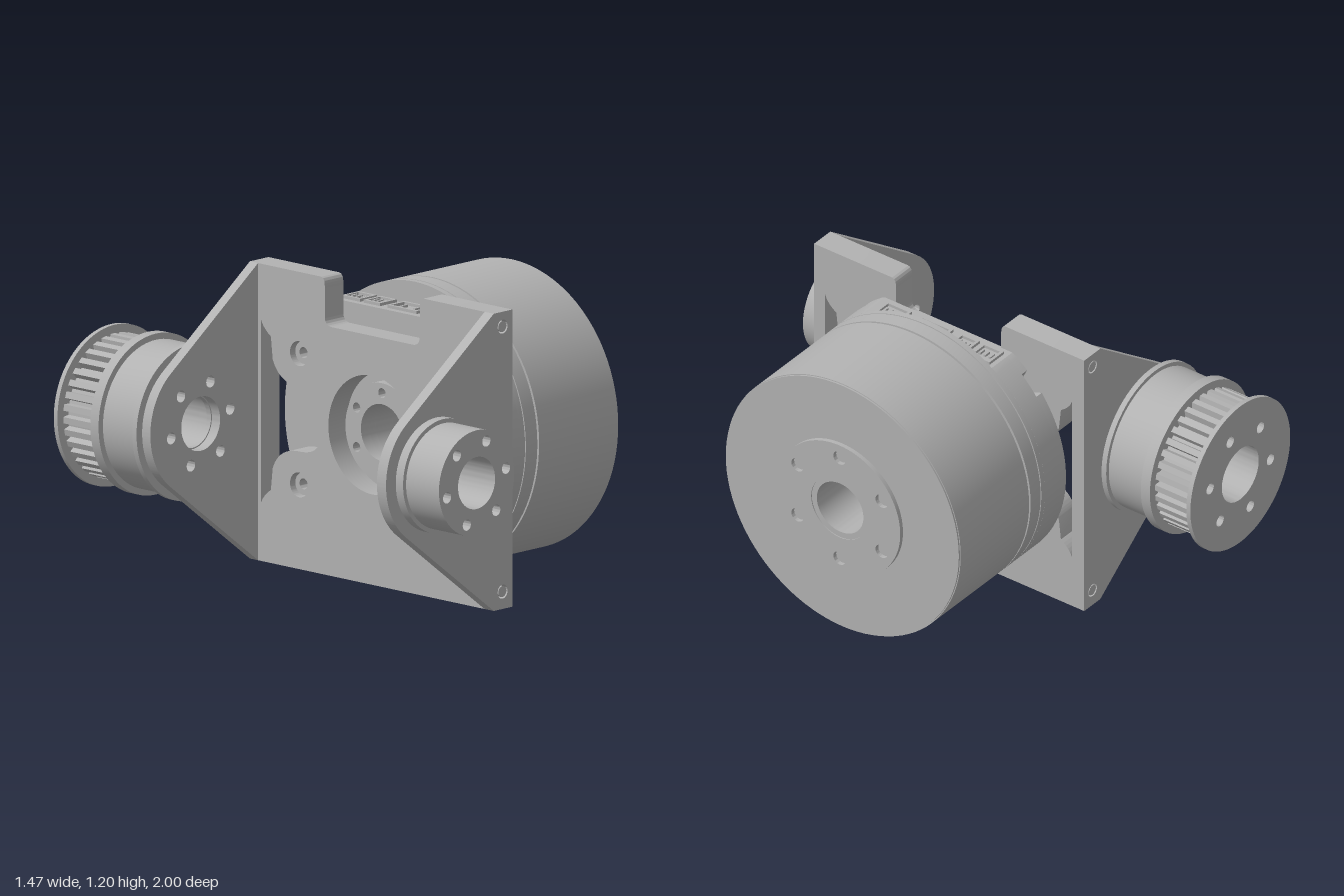
import * as THREE from 'three';
import { toCreasedNormals } from 'three/addons/utils/BufferGeometryUtils.js';

const TAU = Math.PI * 2;
const AXLE = { x: -0.41, y: 0.605 };   // axis of hub and pulley, along z
const MOTOR = { y: 0.605, z: 0.115 };  // axis of motor, along x

export function createModel() {
  const model = new THREE.Group();
  model.name = 'motorBracketAssembly';
  const grey = new THREE.MeshStandardMaterial({ color: 0xb2b2b2 });
  grey.name = 'machined grey';

  const group = (name, x, y, z, turn = 0) => {
    const g = new THREE.Group();
    g.name = name;
    g.position.set(x, y, z);
    g.rotation.y = turn;
    model.add(g);
    return g;
  };
  const punch = (shape, x, y, r) => {
    shape.holes.push(new THREE.Path().absarc(x, y, r, 0, TAU, true));
    return shape;
  };
  const boltCircle = (shape, ringR, holeR, start) => {
    for (let i = 0; i < 6; i++) {
      const a = start + i * TAU / 6;
      punch(shape, ringR * Math.cos(a), ringR * Math.sin(a), holeR);
    }
    return shape;
  };
  const disc = (r, bore) => {
    const s = new THREE.Shape().absarc(0, 0, r, 0, TAU, false);
    return bore ? punch(s, 0, 0, bore) : s;
  };
  // extrude a shape between two depths
  const slab = (parent, name, shape, from, to) => {
    const geo = new THREE.ExtrudeGeometry(shape, { depth: to - from, bevelEnabled: false, curveSegments: 48 });
    geo.translate(0, 0, from);
    const mesh = new THREE.Mesh(toCreasedNormals(geo, 0.45), grey);
    mesh.name = name;
    parent.add(mesh);
    return mesh;
  };

  // ---- bracket side arms: triangle running tangent into a round nose
  const armR = 0.285;
  const dx = -0.085 - AXLE.x, dy = 1.2 - AXLE.y;
  const tangent = Math.atan2(dy, dx) + Math.acos(armR / Math.hypot(dx, dy));
  const armShape = () => {
    const s = new THREE.Shape();
    s.moveTo(0.43, -0.605);
    s.lineTo(0.43, 0.595);
    s.lineTo(dx, dy);
    s.absarc(0, 0, armR, tangent, TAU - tangent, false);
    s.lineTo(dx, -0.605);
    punch(s, 0, 0, 0.11);
    boltCircle(s, 0.17, 0.024, 71 * Math.PI / 180);
    for (const y of [0.535, -0.535]) punch(s, 0.375, y, 0.028);
    return s;
  };
  const arms = group('bracketArms', AXLE.x, AXLE.y, 0);
  for (const [name, from, to] of [['frontArm', 0.73, 0.78], ['rearArm', -0.555, -0.51]]) {
    slab(arms, name, armShape(), from, to);
    for (const y of [0.535, -0.535]) {
      slab(arms, name + 'Screw', disc(0.022), from + 0.001, to - 0.001).position.set(0.375, y, 0);
    }
  }

  // ---- bracket back plate, notched at the top, with windows and bolt holes
  const plate = group('bracketPlate', 0, MOTOR.y, MOTOR.z, Math.PI / 2);
  const p = new THREE.Shape();
  p.moveTo(-0.615, -0.605);
  p.lineTo(0.625, -0.605);
  p.lineTo(0.625, 0.595);
  p.lineTo(0.285, 0.595);
  p.quadraticCurveTo(0.26, 0.595, 0.26, 0.56);
  p.lineTo(0.26, 0.44);
  p.quadraticCurveTo(0.26, 0.4, 0.22, 0.4);
  p.lineTo(-0.22, 0.4);
  p.quadraticCurveTo(-0.26, 0.4, -0.26, 0.44);
  p.lineTo(-0.26, 0.56);
  p.quadraticCurveTo(-0.26, 0.595, -0.285, 0.595);
  p.lineTo(-0.615, 0.595);
  punch(p, 0, 0, 0.24);
  for (const m of [-1, 1]) {
    const w = new THREE.Path();
    w.moveTo(m * 0.61, -0.375);
    w.lineTo(m * 0.61, 0.375);
    w.quadraticCurveTo(m * 0.6, 0.34, m * 0.555, 0.31);
    w.lineTo(m * 0.545, 0.22);
    w.quadraticCurveTo(m * 0.51, 0.13, m * 0.4, 0.13);
    w.quadraticCurveTo(m * 0.29, 0.13, m * 0.29, 0.06);
    w.lineTo(m * 0.29, -0.06);
    w.quadraticCurveTo(m * 0.29, -0.13, m * 0.4, -0.13);
    w.quadraticCurveTo(m * 0.51, -0.13, m * 0.545, -0.22);
    w.lineTo(m * 0.555, -0.31);
    w.quadraticCurveTo(m * 0.6, -0.34, m * 0.61, -0.375);
    p.holes.push(w);
    for (const y of [-0.265, 0.265]) {
      punch(p, m * 0.4, y, 0.05);
      slab(plate, 'motorBolt', disc(0.045, 0.022), -0.06, 0.02).position.set(m * 0.4, y, 0);
    }
  }
  slab(plate, 'backPlate', p, -0.085, 0.02);

  // ---- motor
  const motor = group('motor', 0, MOTOR.y, MOTOR.z, Math.PI / 2);
  const R = 0.58, BORE = 0.115;
  // round outline with a flat top and optional notches in the rim
  const flatOutline = (notches) => {
    const pts = [];
    for (let i = 0; i < 240; i++) {
      const a = i * TAU / 240;
      const cut = notches.some((n) => Math.abs(a * 360 / TAU - n) < 5);
      const r = Math.min(cut ? R - 0.05 : R, Math.sin(a) > 0.5 ? 0.485 / Math.sin(a) : R);
      pts.push(new THREE.Vector2(r * Math.cos(a), r * Math.sin(a)));
    }
    return punch(new THREE.Shape(pts), 0, 0, BORE);
  };
  slab(motor, 'rearRim', flatOutline([43, 137, 262, 278]), 0.02, 0.055);
  slab(motor, 'rearHousing', flatOutline([]), 0.055, 0.155);
  const bands = [
    ['housingLip', R, 0.155, 0.18], ['seam', 0.574, 0.18, 0.185], ['middleBand', R, 0.185, 0.25],
    ['rotorGap', 0.565, 0.25, 0.26], ['rotorCan', R, 0.26, 0.705], ['rotorEdge', 0.576, 0.705, 0.712],
  ];
  for (const [name, r, from, to] of bands) slab(motor, name, disc(r, BORE), from, to);
  slab(motor, 'outputFlange', boltCircle(disc(0.3, 0.14), 0.24, 0.03, Math.PI / 2), 0.71, 0.73);
  slab(motor, 'outputSleeve', disc(0.14, BORE), 0.71, 0.726);
  slab(motor, 'rearBoss', boltCircle(disc(0.2, BORE), 0.16, 0.02, Math.PI / 2), -0.03, 0.02);

  // ---- connectors on the motor's flat top
  const sockets = group('connectors', 0, 1.09, 0);
  const box = (name, x, y, z, w, h, d) => {
    const mesh = new THREE.Mesh(new THREE.BoxGeometry(w, h, d), grey);
    mesh.name = name;
    mesh.position.set(x, y, z);
    sockets.add(mesh);
  };
  for (const [z, len, pins] of [[-0.13, 0.1, 3], [-0.015, 0.09, 3], [0.15, 0.16, 2], [0.335, 0.12, 4]]) {
    for (const m of [-1, 1]) {
      box('socketSide', 0.095 + m * 0.042, 0.006, z, 0.012, 0.012, len);
      box('socketEnd', 0.095, 0.006, z + m * (len / 2 - 0.006), 0.072, 0.012, 0.012);
    }
    for (let i = 0; i < pins; i++) {
      box('pin', 0.095, 0.005, z + ((i + 0.5) / pins - 0.5) * (len - 0.024), 0.03, 0.01, 0.01);
    }
  }

  // ---- idler hub on the front arm
  const bolts = 71 * Math.PI / 180;
  const hub = group('frontHub', AXLE.x, AXLE.y, 0);
  slab(hub, 'hubFlange', disc(0.23, 0.105), 0.78, 0.82);
  slab(hub, 'hubBarrel', boltCircle(disc(0.213, 0.105), 0.17, 0.023, bolts), 0.82, 1.0);

  // ---- toothed pulley on the rear arm
  const pulley = group('pulley', AXLE.x, AXLE.y, 0);
  const teeth = [];
  const COUNT = 36;
  for (let i = 0; i < COUNT; i++) {
    for (const [f, r] of [[0, 0.292], [0.5, 0.292], [0.6, 0.262], [0.9, 0.262]]) {
      const a = (i + f) * TAU / COUNT;
      teeth.push(new THREE.Vector2(r * Math.cos(a), r * Math.sin(a)));
    }
  }
  slab(pulley, 'mountFlange', disc(0.317, 0.105), -0.578, -0.555);
  slab(pulley, 'pulleyBarrel', disc(0.3, 0.115), -0.755, -0.578);
  slab(pulley, 'innerFlange', disc(0.325, 0.115), -0.8, -0.755);
  slab(pulley, 'toothedRing', boltCircle(punch(new THREE.Shape(teeth), 0, 0, 0.12), 0.2, 0.024, bolts), -0.98, -0.8);
  slab(pulley, 'outerFlange', boltCircle(disc(0.325, 0.12), 0.2, 0.024, bolts), -1.0, -0.98);

  return model;
}
